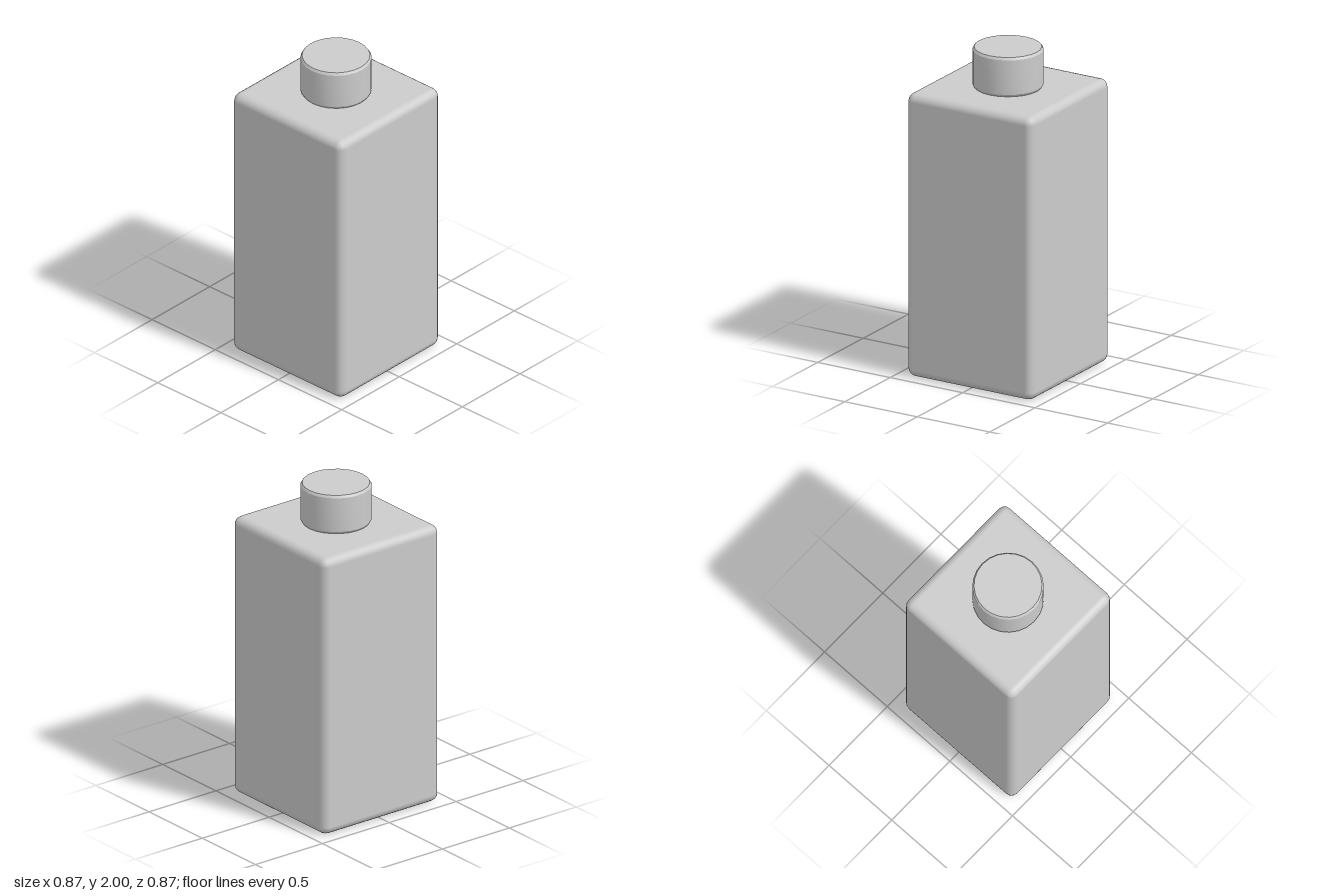
import * as THREE from 'three';
import { toCreasedNormals } from 'three/addons/utils/BufferGeometryUtils.js';
import { RoundedBoxGeometry } from 'three/addons/geometries/RoundedBoxGeometry.js';

const WIDTH = 0.872, HEIGHT = 1.756, RADIUS = 0.05;
const RECESS = 0.692, DEPTH = 0.26;

// Removes the flat underside, leaving the geometry open below
function openBottom(geometry) {
  const source = geometry.index ? geometry.toNonIndexed() : geometry;
  source.computeBoundingBox();
  const floor = source.boundingBox.min.y + 1e-5;
  const { position, normal } = source.attributes;
  const points = [], normals = [];
  for (let i = 0; i < position.count; i += 3) {
    const corners = [i, i + 1, i + 2];
    if (corners.every((k) => position.getY(k) < floor)) continue;
    for (const k of corners) {
      points.push(position.getX(k), position.getY(k), position.getZ(k));
      normals.push(normal.getX(k), normal.getY(k), normal.getZ(k));
    }
  }
  const open = new THREE.BufferGeometry();
  open.setAttribute('position', new THREE.Float32BufferAttribute(points, 3));
  open.setAttribute('normal', new THREE.Float32BufferAttribute(normals, 3));
  return open;
}

function squarePoints(size) {
  const h = size / 2;
  return [[-h, -h], [h, -h], [h, h], [-h, h]].map(([x, y]) => new THREE.Vector2(x, y));
}

export function createModel() {
  const model = new THREE.Group();
  model.name = 'squareBottle';
  const grey = new THREE.MeshStandardMaterial({ color: 0xcccccc });
  const inside = new THREE.MeshStandardMaterial({ color: 0xcccccc, side: THREE.BackSide });

  const add = (name, geometry, material = grey) => {
    const mesh = new THREE.Mesh(geometry, material);
    mesh.name = name;
    model.add(mesh);
  };

  // Tall body with softly rounded edges
  const body = openBottom(new RoundedBoxGeometry(WIDTH, HEIGHT, WIDTH, 2, RADIUS));
  add('body', body.translate(0, HEIGHT / 2, 0));

  // Flat rim around the hollow in the base
  const rim = new THREE.Shape(squarePoints(WIDTH - 2 * RADIUS));
  rim.holes.push(new THREE.Path(squarePoints(RECESS).reverse()));
  add('baseRim', new THREE.ShapeGeometry(rim).rotateX(Math.PI / 2));

  // Walls and ceiling of the hollow
  const recess = openBottom(new THREE.BoxGeometry(RECESS, DEPTH, RECESS));
  add('baseRecess', recess.translate(0, DEPTH / 2, 0), inside);

  // Round cap with narrow bevels
  const capProfile = [
    [0, HEIGHT], [0.199, HEIGHT], [0.209, HEIGHT + 0.015],
    [0.209, 1.985], [0.199, 2], [0, 2],
  ].map(([r, y]) => new THREE.Vector2(r, y));
  add('cap', toCreasedNormals(new THREE.LatheGeometry(capProfile, 24), 0.35));

  return model;
}
